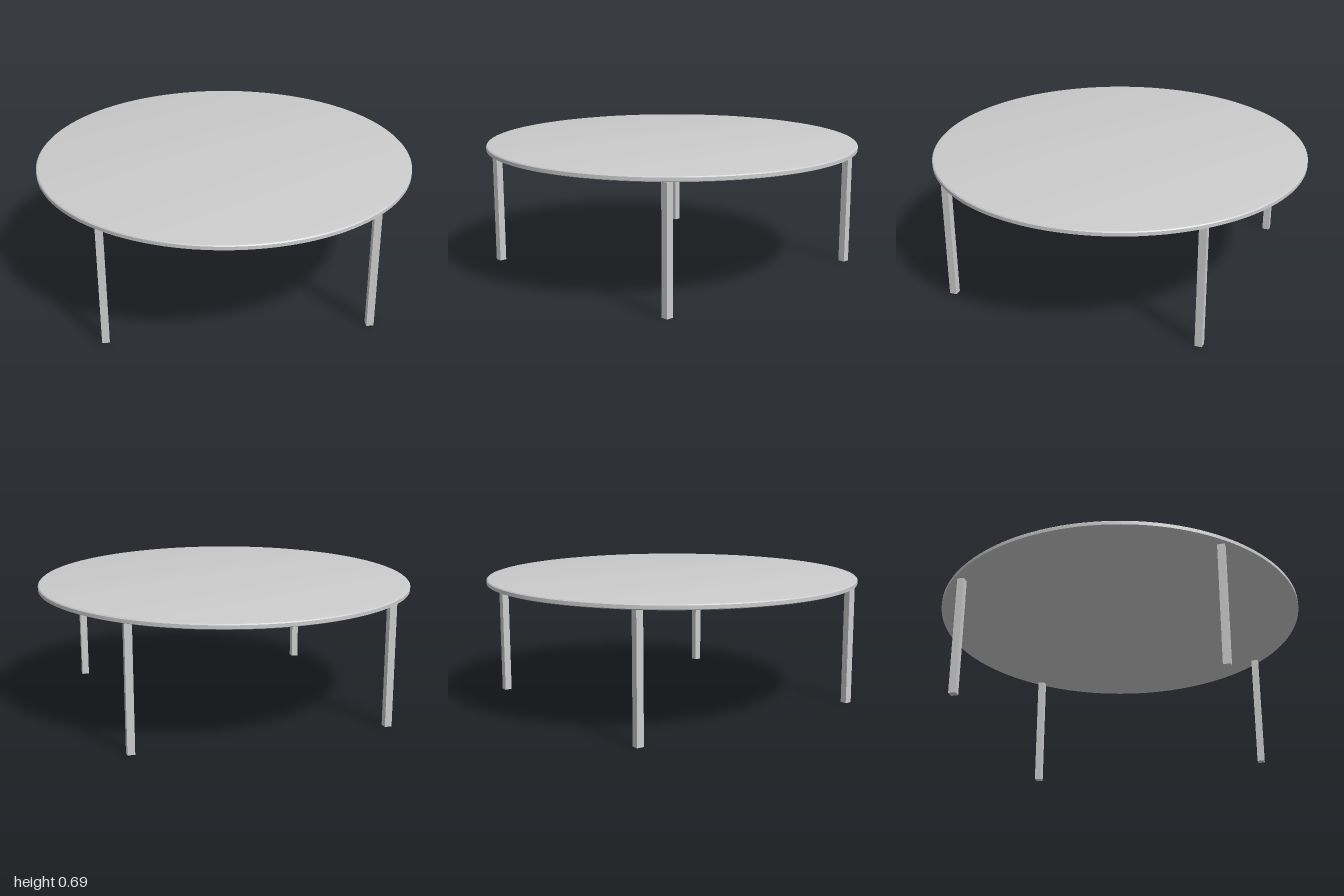
import * as THREE from 'three';
import { toCreasedNormals } from 'three/addons/utils/BufferGeometryUtils.js';

export function createModel() {
  const model = new THREE.Group();
  model.name = 'roundTable';
  const material = new THREE.MeshStandardMaterial({ color: 0xcccccc });

  // Thin round top with softened upper and lower edges
  const profile = [
    [0, 0.65], [0.95, 0.65], [0.985, 0.653], [1, 0.659],
    [1, 0.677], [0.995, 0.682], [0.98, 0.685], [0, 0.685],
  ].map(([r, y]) => new THREE.Vector2(r, y));
  const topGeometry = toCreasedNormals(new THREE.LatheGeometry(profile, 128), 0.5);
  const top = new THREE.Mesh(topGeometry, material);
  top.name = 'tableTop';
  model.add(top);

  // Four slim square legs
  const legHeight = 0.652;
  const legGeometry = new THREE.BoxGeometry(0.038, legHeight, 0.038);
  for (const [sx, side] of [[1, 'Left'], [-1, 'Right']]) {
    for (const [sz, end] of [[1, 'front'], [-1, 'back']]) {
      const leg = new THREE.Mesh(legGeometry, material);
      leg.name = `${end}${side}Leg`;
      leg.position.set(sx * 0.675, legHeight / 2, sz * 0.683);
      model.add(leg);
    }
  }
  return model;
}
